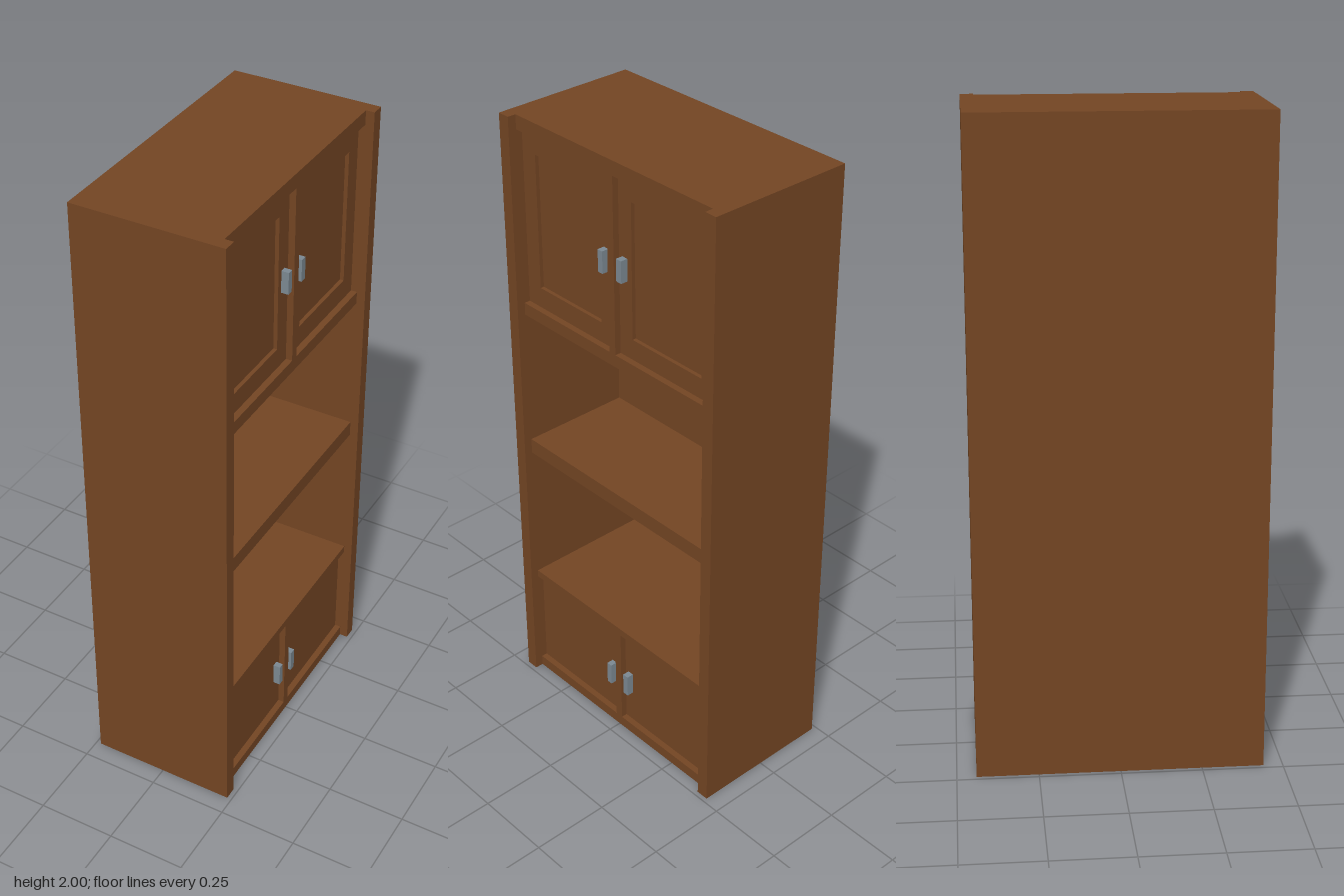
import * as THREE from 'three';

export function createModel() {
  const wood = new THREE.MeshStandardMaterial({ color: 0x734523 });
  wood.name = 'brown wood';
  const metal = new THREE.MeshStandardMaterial({ color: 0x7b8891 });
  metal.name = 'grey metal';

  const model = new THREE.Group();
  model.name = 'bookcase';

  // Box given by its limits on each axis
  function box(name, [x0, x1], [y0, y1], [z0, z1], material = wood) {
    const mesh = new THREE.Mesh(new THREE.BoxGeometry(x1 - x0, y1 - y0, z1 - z0), material);
    mesh.position.set((x0 + x1) / 2, (y0 + y1) / 2, (z0 + z1) / 2);
    mesh.name = name;
    model.add(mesh);
  }

  const back = -0.235, front = 0.208, doorFace = 0.188, panelFace = 0.176;
  const inner = [-0.4, 0.4];

  // Side walls, standing proud of the shelves
  box('leftWall', [back, 0.235], [0, 2], [0.4, 0.44]);
  box('rightWall', [back, 0.235], [0, 2], [-0.44, -0.4]);

  // Horizontal boards
  box('base', [back, front], [0, 0.035], inner);
  box('lowerShelf', [back, front], [0.375, 0.4], inner);
  box('middleShelf', [back, front], [0.865, 0.915], inner);
  box('upperShelf', [back, front], [1.36, 1.4], inner);
  box('top', [back, front], [1.955, 2], inner);

  // Back boards of the two open niches
  box('lowerBack', [back, -0.213], [0.4, 0.865], inner);
  box('upperBack', [back, -0.155], [0.915, 1.36], inner);

  // Back boards and centre posts of the closed cupboards
  for (const [name, y] of [['lower', [0.035, 0.375]], ['upper', [1.4, 1.955]]]) {
    box(name + 'CupboardBack', [back, -0.213], y, inner);
    box(name + 'CentrePost', [0.15, front], y, [-0.011, 0.015]);
  }

  // Plain lower doors
  const doors = [['left', [0.015, 0.4], [0.07, 0.345]], ['right', [-0.4, -0.011], [-0.345, -0.063]]];
  for (const [side, z] of doors) box(side + 'LowerDoor', [0.15, doorFace], [0.035, 0.375], z);

  // Upper doors: a frame around a sunken panel
  for (const [side, z, p] of doors) {
    const rect = (target, [a, b], [y0, y1]) =>
      target.moveTo(-b, y0).lineTo(-a, y0).lineTo(-a, y1).lineTo(-b, y1).closePath();
    const shape = rect(new THREE.Shape(), z, [1.4, 1.955]);
    shape.holes.push(rect(new THREE.Path(), p, [1.465, 1.89]));
    const frame = new THREE.Mesh(
      new THREE.ExtrudeGeometry(shape, { depth: doorFace - 0.15, bevelEnabled: false }), wood);
    frame.rotation.y = Math.PI / 2;
    frame.position.x = 0.15;
    frame.name = side + 'UpperDoorFrame';
    model.add(frame);
    box(side + 'UpperDoorPanel', [0.15, panelFace], [1.465, 1.89], p);
  }

  // Handles
  for (const [level, y] of [['lower', [0.15, 0.225]], ['upper', [1.643, 1.713]]]) {
    box(level + 'LeftHandle', [doorFace, 0.211], y, [0.034, 0.053], metal);
    box(level + 'RightHandle', [doorFace, 0.211], y, [-0.045, -0.024], metal);
  }

  return model;
}
